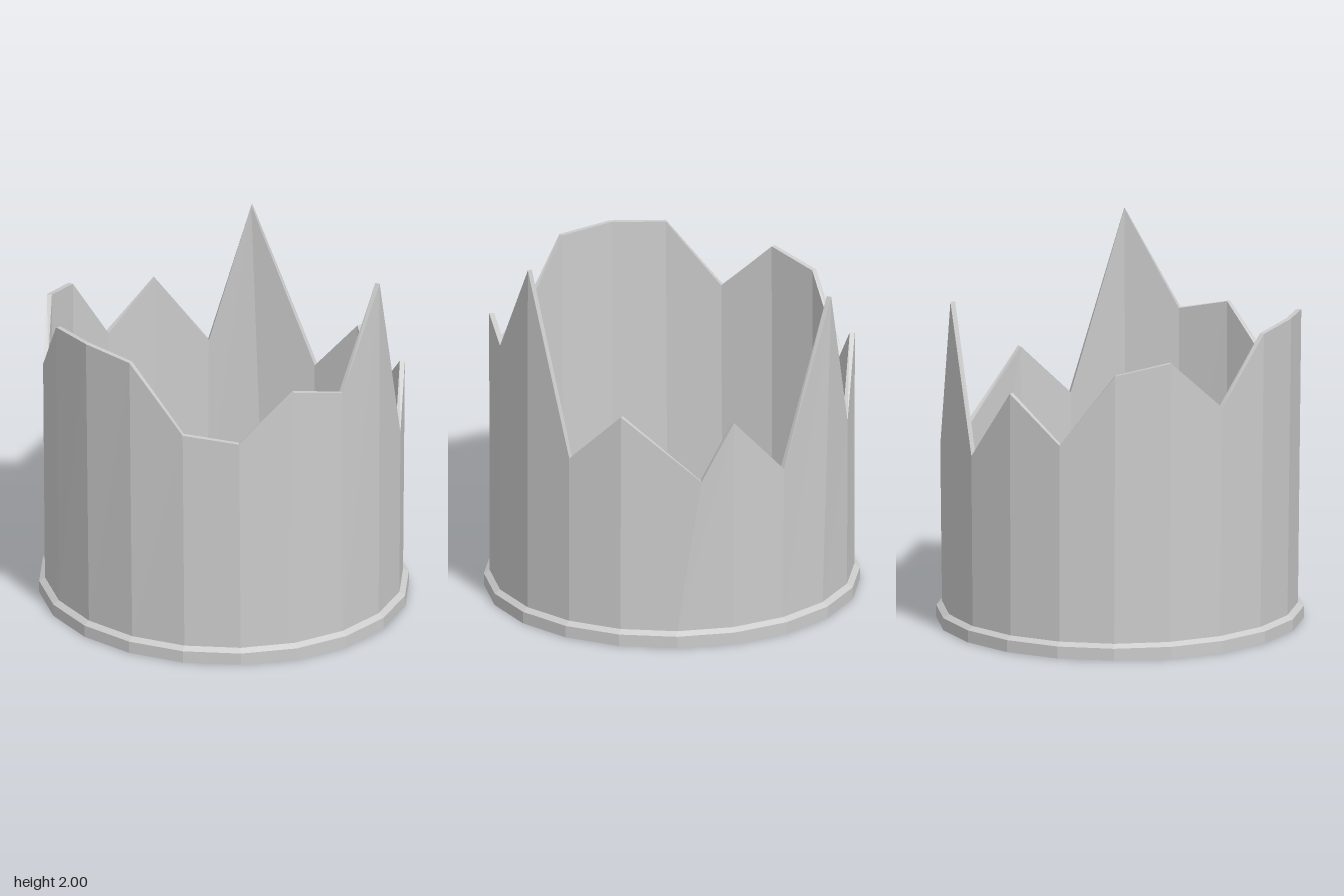
import * as THREE from 'three';

const SIDES = 20;
const FLOOR = 0.085;

// Height of the broken rim at each corner, from the front (+z) round towards +x
const RIM = [1.47, 2.0, 1.01, 1.29, 0.93, 1.25, 0.93, 1.8, 1.01, 1.4,
  1.15, 1.54, 1.6, 1.33, 1.68, 1.7, 1.68, 1.31, 1.27, 1.54];
// Corners whose rim point is shifted round the wall, in degrees
const SHIFT = { 4: 7.5, 7: 4.5 };

// Point on the slightly oval wall, which flares a little sideways with height
function wallPoint(degrees, radius, y) {
  const a = THREE.MathUtils.degToRad(degrees);
  const sx = 0.967 + 0.013 * y;
  return [Math.sin(a) * radius * sx, y, Math.cos(a) * radius];
}

// Closed cross-section at one corner: outer foot, outer rim, inner rim, inner foot
function section(k) {
  const angle = (k * 360) / SIDES;
  const top = angle + (SHIFT[k] || 0);
  return [
    wallPoint(angle, 0.97, FLOOR - 0.005),
    wallPoint(top, 0.97, RIM[k]),
    wallPoint(top, 0.943, RIM[k]),
    wallPoint(angle, 0.943, FLOOR - 0.005),
  ];
}

function wallGeometry() {
  const positions = [];
  for (let k = 0; k < SIDES; k++) {
    const a = section(k);
    const b = section((k + 1) % SIDES);
    for (let j = 0; j < 3; j++) {
      positions.push(...a[j], ...b[j], ...b[j + 1]);
      positions.push(...a[j], ...b[j + 1], ...a[j + 1]);
    }
  }
  const geometry = new THREE.BufferGeometry();
  geometry.setAttribute('position', new THREE.Float32BufferAttribute(positions, 3));
  geometry.computeVertexNormals();
  return geometry;
}

export function createModel() {
  const group = new THREE.Group();
  group.name = 'brokenRoundWall';
  const material = new THREE.MeshStandardMaterial({ color: 0xcccccc, flatShading: true });

  // Solid base disc with a bevelled edge; its top is the floor
  const profile = [[0, 0], [1, 0], [1, 0.065], [0.97, FLOOR], [0, FLOOR]]
    .map(([r, y]) => new THREE.Vector2(r, y));
  const base = new THREE.Mesh(new THREE.LatheGeometry(profile, SIDES), material);
  base.name = 'base';
  base.scale.x = 0.97;
  group.add(base);

  // Thin wall with a jagged rim
  const wall = new THREE.Mesh(wallGeometry(), material);
  wall.name = 'jaggedWall';
  group.add(wall);

  return group;
}
